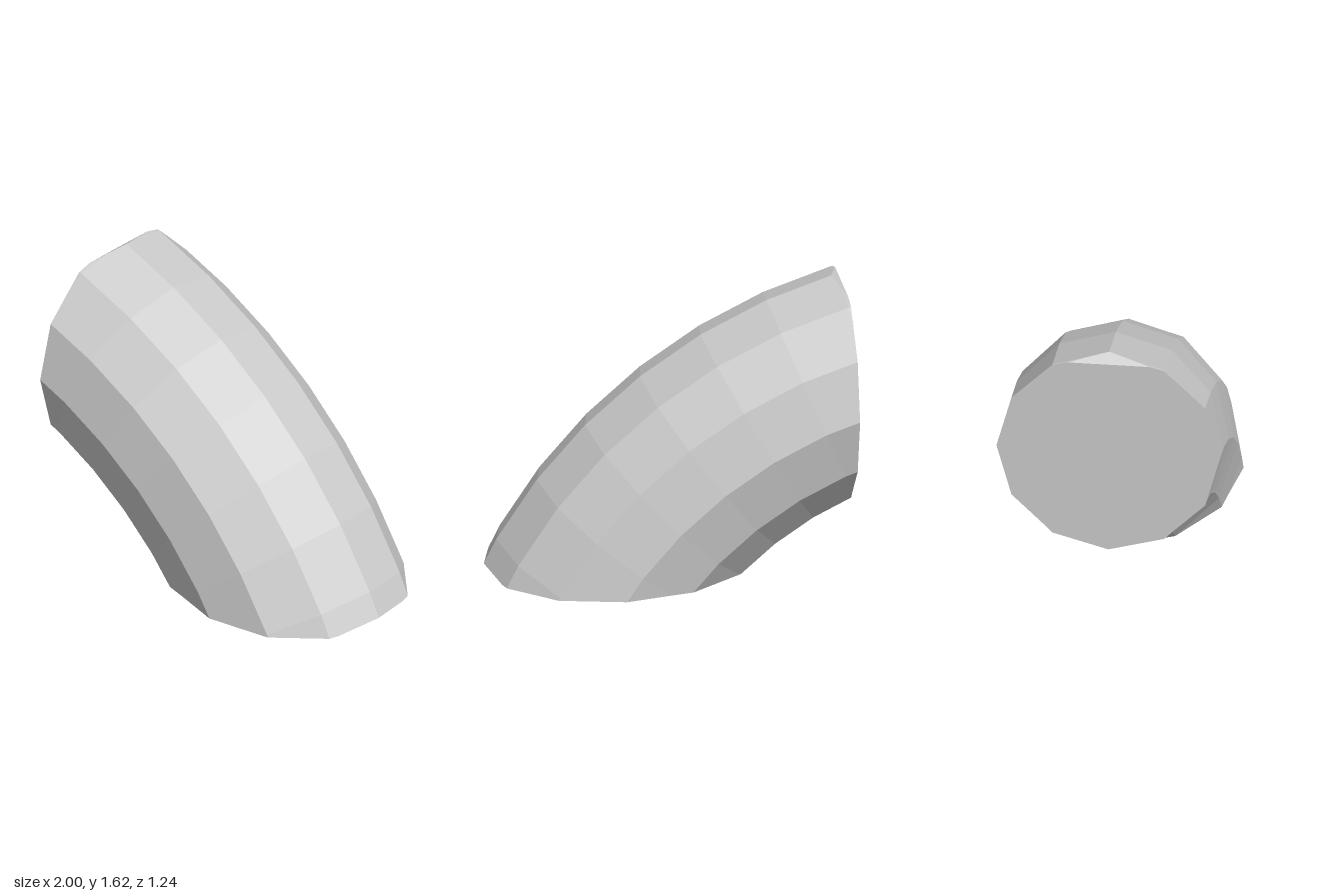
import * as THREE from 'three';

const SIDES = 12;
const STEP = THREE.MathUtils.degToRad(7.5);
const ARC_RADIUS = 2.5, TUBE_RADIUS = 0.62;
const CENTRE = new THREE.Vector2(-1.77, -1.39);

// Point on the bent tube: ring i along the arc, corner j around the tube
function tubePoint(i, j) {
  const phi = i * STEP, th = (j / SIDES) * Math.PI * 2;
  const r = ARC_RADIUS + TUBE_RADIUS * Math.cos(th);
  return new THREE.Vector3(
    CENTRE.x + r * Math.sin(phi),
    CENTRE.y + r * Math.cos(phi),
    TUBE_RADIUS * Math.sin(th)
  );
}

// Cut a set of polygons by a plane and close the opening with a flat cap
function cutAndCap(faces, plane) {
  const rim = [], kept = [];
  for (const face of faces) {
    const out = [];
    face.forEach((a, k) => {
      const b = face[(k + 1) % face.length];
      const da = plane.distanceToPoint(a), db = plane.distanceToPoint(b);
      if (da <= 0) out.push(a);
      if ((da <= 0) !== (db <= 0)) {
        const p = a.clone().lerp(b, da / (da - db));
        out.push(p);
        rim.push(p);
      }
    });
    if (out.length > 2) kept.push(out);
  }
  // Order the rim counter-clockwise about the outward normal
  const mid = rim.reduce((s, p) => s.add(p), new THREE.Vector3()).divideScalar(rim.length);
  const helper = Math.abs(plane.normal.z) < 0.9 ? new THREE.Vector3(0, 0, 1) : new THREE.Vector3(1, 0, 0);
  const u = helper.cross(plane.normal).normalize();
  const v = plane.normal.clone().cross(u);
  const angle = (p) => {
    const d = p.clone().sub(mid);
    return Math.atan2(d.dot(v), d.dot(u));
  };
  rim.sort((a, b) => angle(a) - angle(b));
  const cap = rim.filter((p, k) => p.distanceTo(rim[(k + 1) % rim.length]) > 1e-5);
  kept.push(cap);
  return kept;
}

const planeThrough = (nx, ny, x, y) =>
  new THREE.Plane().setFromNormalAndCoplanarPoint(
    new THREE.Vector3(nx, ny, 0).normalize(), new THREE.Vector3(x, y, 0));

export function createModel() {
  const group = new THREE.Group();
  group.name = 'pipeBend';

  // Faceted tube, longer than needed at both ends
  let faces = [];
  for (let i = 0; i < 10; i++) {
    for (let j = 0; j < SIDES; j++) {
      faces.push([tubePoint(i, j), tubePoint(i, j + 1), tubePoint(i + 1, j + 1), tubePoint(i + 1, j)]);
    }
  }

  // Upright end, floor end, and the small chamfer on the outer tip of each
  const cuts = [
    planeThrough(-1, 0, -1, 0),
    planeThrough(0, -1, 0, 0),
    planeThrough(-0.79, 1, -0.94, 1.617),
    planeThrough(0.5, -1, 1, 0.03),
  ];
  for (const plane of cuts) faces = cutAndCap(faces, plane);

  // Fan each flat polygon into triangles
  const points = [];
  for (const f of faces) {
    for (let k = 1; k < f.length - 1; k++) points.push(f[0], f[k], f[k + 1]);
  }
  const geometry = new THREE.BufferGeometry().setFromPoints(points);
  geometry.computeVertexNormals();

  const mesh = new THREE.Mesh(
    geometry,
    new THREE.MeshStandardMaterial({ color: 0xcccccc, flatShading: true })
  );
  mesh.name = 'curvedTube';
  group.add(mesh);
  return group;
}
